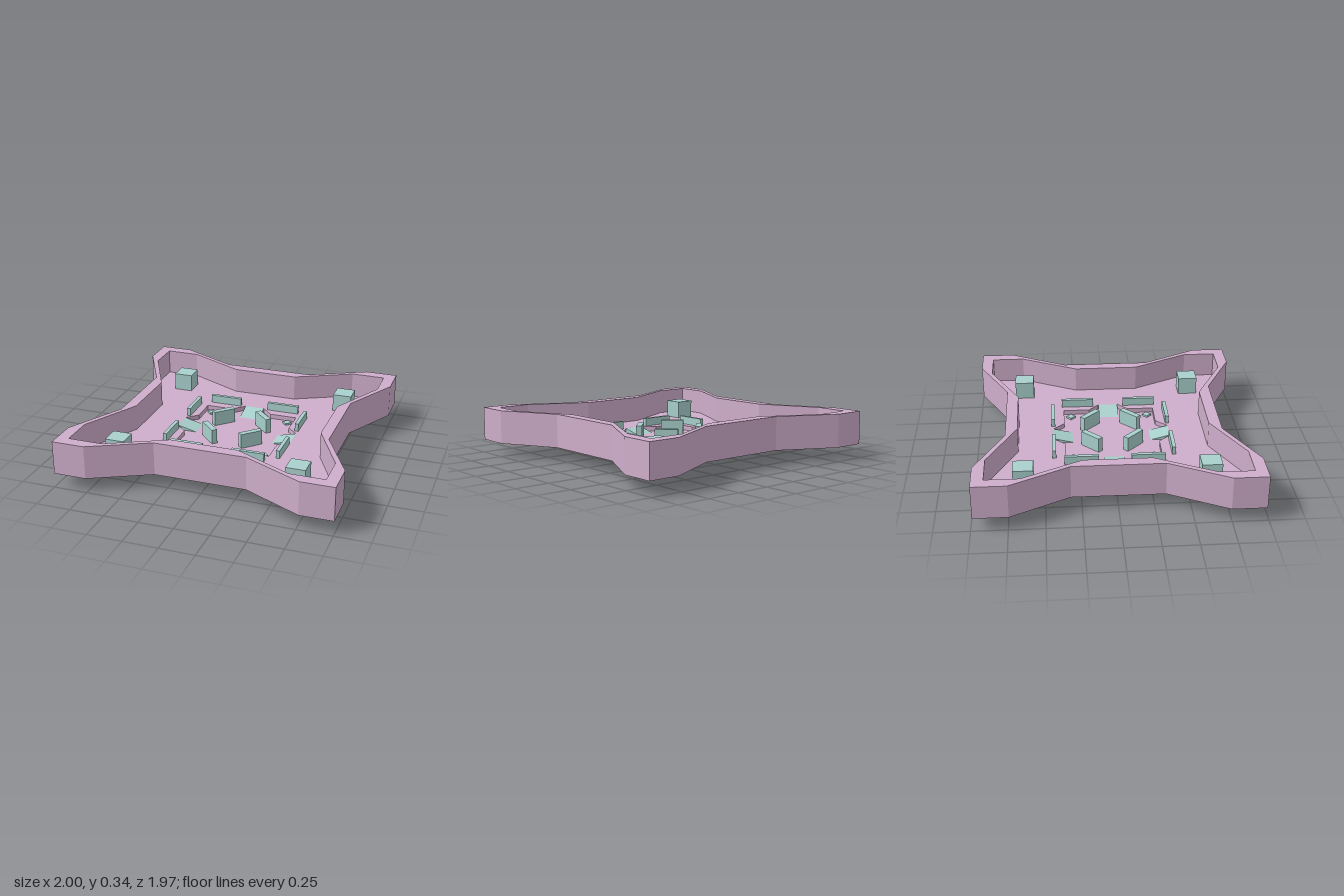
import * as THREE from 'three';

const BOTTOM = 0.1, PIT = 0.12, FLOOR = 0.155, RIM = 0.345;

export function createModel() {
  const group = new THREE.Group();
  const pink = new THREE.MeshStandardMaterial({ color: 0xcfaecb, flatShading: true });
  const teal = new THREE.MeshStandardMaterial({ color: 0xa8d0cc, flatShading: true });

  const add = (name, geometry, material) => {
    const mesh = new THREE.Mesh(geometry, material);
    mesh.name = name;
    group.add(mesh);
    return mesh;
  };

  // Mirror one quarter (x side first, z side last) into a closed outline
  const ring = (quarter) => {
    const back = [...quarter].reverse();
    return [
      ...quarter,
      ...back.map(([x, z]) => [-x, z]),
      ...quarter.map(([x, z]) => [-x, -z]),
      ...back.map(([x, z]) => [x, -z]),
    ].map(([x, z]) => new THREE.Vector2(x, z));
  };

  // Horizontal slab with an optional hole
  const slab = (outline, hole, y0, y1) => {
    const shape = new THREE.Shape(outline);
    if (hole) shape.holes.push(new THREE.Path(hole));
    return new THREE.ExtrudeGeometry(shape, { depth: y1 - y0, bevelEnabled: false })
      .rotateX(Math.PI / 2).translate(0, y1, 0);
  };

  // Box placed by its centre and its bottom and top heights
  const block = (name, x, z, w, d, y0, y1, turn = 0) => {
    const mesh = add(name, new THREE.BoxGeometry(w, y1 - y0, d), teal);
    mesh.position.set(x, (y0 + y1) / 2, z);
    mesh.rotation.y = turn;
  };

  // Star-shaped tray: wall, floor with a sunken pit, pit bottom
  const outer = ring([[0.785, 0.325], [1, 0.742], [1, 0.985], [0.76, 0.985], [0.335, 0.773]]);
  const inner = ring([[0.705, 0.24], [0.915, 0.66], [0.915, 0.9], [0.665, 0.9], [0.245, 0.688]]);
  const pit = ring([[0.44, 0.075], [0.36, 0.15], [0.36, 0.345], [0.155, 0.345], [0.075, 0.43]]);
  add('outerWall', slab(outer, inner, BOTTOM, RIM), pink);
  add('floor', slab(inner, pit, PIT, FLOOR), pink);
  add('base', slab(inner, null, BOTTOM, PIT), pink);

  // Parts repeated in each quadrant
  for (const sx of [-1, 1]) {
    for (const sz of [-1, 1]) {
      const turn = sx * sz * Math.PI / 4;
      block('cornerBlock', sx * 0.66, sz * 0.647, 0.14, 0.143, FLOOR, 0.287);
      block('lowWallAlongX', sx * 0.232, sz * 0.43, 0.243, 0.027, FLOOR, 0.215);
      block('lowWallAlongZ', sx * 0.43, sz * 0.238, 0.027, 0.243, FLOOR, 0.215);
      block('diagonalBlock', sx * 0.158, sz * 0.152, 0.17, 0.042, 0, 0.23, turn);
      block('smallPost', sx * 0.305, sz * 0.293, 0.049, 0.049, 0.09, 0.135, turn);
    }
  }

  // Ramps leading from the floor down into the pit on four sides
  for (let i = 0; i < 4; i++) {
    const reach = i % 2 ? 0.44 : 0.43;
    const profile = new THREE.Shape([
      new THREE.Vector2(reach - 0.142, PIT),
      new THREE.Vector2(reach, PIT),
      new THREE.Vector2(reach, FLOOR),
    ]);
    const wedge = new THREE.ExtrudeGeometry(profile, { depth: 0.148, bevelEnabled: false })
      .translate(0, 0, -0.074).rotateY(-Math.PI / 2);
    add('ramp', wedge, teal).rotation.y = i * Math.PI / 2;
  }

  return group;
}
